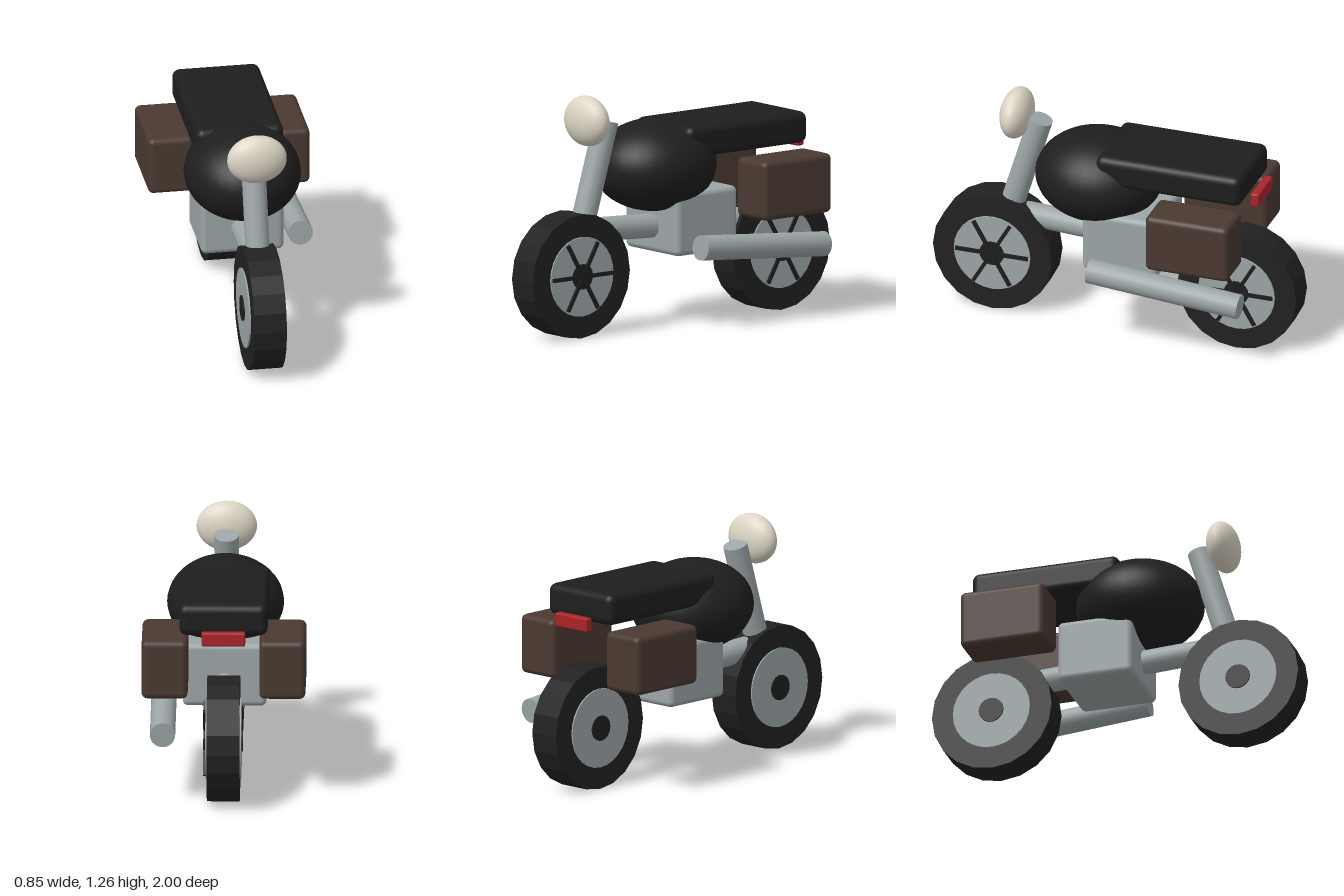
import * as THREE from 'three';
import { RoundedBoxGeometry } from 'three/addons/geometries/RoundedBoxGeometry.js';

const mat = (name, color) => {
  const m = new THREE.MeshStandardMaterial({ color });
  m.name = name;
  return m;
};

export function createModel() {
  const root = new THREE.Group();
  root.name = 'motorbike';

  const black = mat('satin black', 0x1e1e1e);
  const rubber = mat('tyre rubber', 0x212121);
  const steel = mat('steel', 0x9ca5a7);
  const leather = mat('brown leather', 0x4a3931);
  const cream = mat('cream lamp', 0xddd6c6);
  const red = mat('red lamp', 0xaa2428);
  rubber.flatShading = true;

  const add = (parent, name, geo, material, x = 0, y = 0, z = 0) => {
    const m = new THREE.Mesh(geo, material);
    m.name = name;
    m.position.set(x, y, z);
    parent.add(m);
    return m;
  };
  const box = (name, material, w, h, d, r, x, y, z) =>
    add(root, name, new RoundedBoxGeometry(w, h, d, 3, r), material, x, y, z);
  const ellipsoid = (name, material, rx, ry, rz, y, z) =>
    add(root, name, new THREE.SphereGeometry(1, 32, 24).scale(rx, ry, rz), material, 0, y, z);

  // Straight round tube between two points
  const tube = (name, a, b, r) => {
    const p = new THREE.Vector3(...a), q = new THREE.Vector3(...b);
    const d = q.clone().sub(p);
    const m = add(root, name, new THREE.CylinderGeometry(r, r, d.length(), 20), steel);
    m.position.copy(p).add(q).multiplyScalar(0.5);
    m.quaternion.setFromUnitVectors(new THREE.Vector3(0, 1, 0), d.normalize());
  };

  // Disc with its axis along x
  const disc = (r, width, sides) =>
    new THREE.CylinderGeometry(r, r, width, sides).rotateZ(Math.PI / 2);

  // Wheels: spokes sit on the right-hand face only
  for (const [name, z] of [['frontWheel', 0.673], ['rearWheel', -0.673]]) {
    const wheel = new THREE.Group();
    wheel.name = name;
    wheel.position.set(0, 0.327, z);
    root.add(wheel);
    add(wheel, 'tyre', disc(0.327, 0.17, 20), rubber);
    add(wheel, 'rimDisc', disc(0.21, 0.186, 28), steel);
    add(wheel, 'hub', disc(0.067, 0.2, 18), black);
    for (let i = 0; i < 3; i++) {
      const spoke = add(wheel, 'spoke', new THREE.BoxGeometry(0.018, 0.02, 0.4), black, 0.096);
      spoke.rotation.x = i * Math.PI / 3;
    }
  }

  // Frame, fork and exhaust
  tube('fork', [0, 0.327, 0.673], [0, 1.11, 0.435], 0.064);
  tube('frameTube', [0, 0.55, 0.6], [0, 0.485, -0.6], 0.064);
  tube('exhaust', [0.316, 0.44, 0.06], [0.316, 0.37, -0.77], 0.066);

  // Body
  box('engine', steel, 0.436, 0.335, 0.41, 0.03, 0, 0.5525, -0.07);
  ellipsoid('fuelTank', black, 0.304, 0.241, 0.339, 0.846, 0.112);
  box('seat', black, 0.46, 0.166, 0.8, 0.04, 0, 0.978, -0.34);
  for (const s of [1, -1])
    box(s > 0 ? 'leftPannier' : 'rightPannier', leather, 0.24, 0.312, 0.458, 0.03, s * 0.306, 0.71, -0.511);

  // Lamps
  ellipsoid('headlamp', cream, 0.157, 0.132, 0.082, 1.125, 0.566);
  box('tailLamp', red, 0.228, 0.073, 0.046, 0.01, 0, 0.895, -0.78);

  return root;
}
